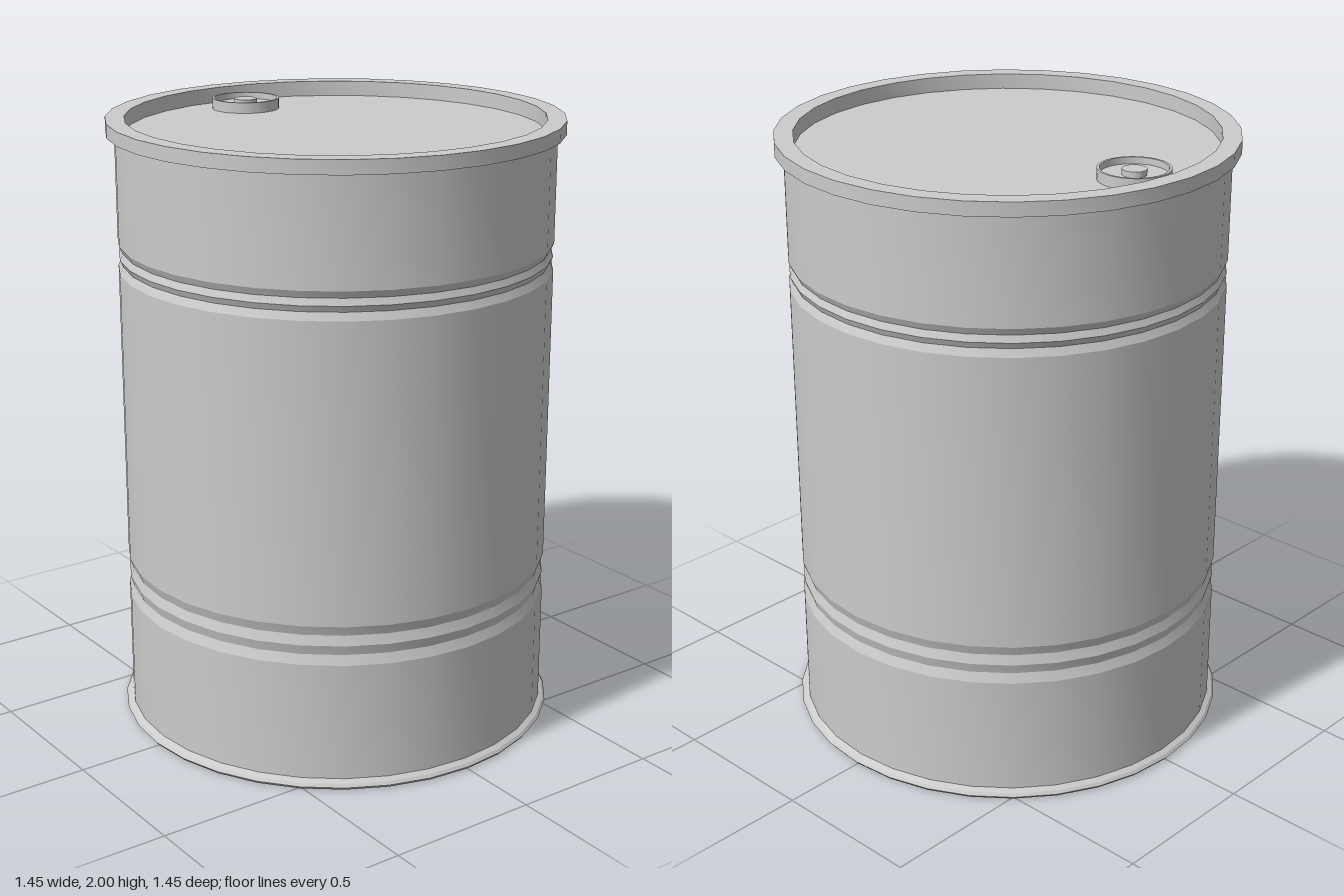
import * as THREE from 'three';
import { toCreasedNormals } from 'three/addons/utils/BufferGeometryUtils.js';

const SIDES = 32;
const material = new THREE.MeshStandardMaterial({ color: 0xcccccc });

// Revolves an [radius, height] outline, smooth around and sharp along the outline
function turned(name, outline, sides = SIDES) {
  const points = outline.map(([r, y]) => new THREE.Vector2(r, y));
  const geometry = toCreasedNormals(new THREE.LatheGeometry(points, sides), 0.25);
  const mesh = new THREE.Mesh(geometry, material);
  mesh.name = name;
  return mesh;
}

// Double pressed groove, listed from its bottom edge to its top edge
function groove(heights, depth) {
  const R = 0.7;
  const radii = [R, R - depth, R - 0.002, R - depth, R];
  return heights.map((y, i) => [radii[i], y]);
}

export function createModel() {
  const barrel = new THREE.Group();
  barrel.name = 'barrel';

  // Closed bottom with a small foot flange, and a wall with two grooves
  barrel.add(turned('body', [
    [0, 0], [0.715, 0], [0.723, 0.01], [0.716, 0.02], [0.7, 0.03],
    ...groove([0.42, 0.452, 0.485, 0.517, 0.55], 0.011),
    ...groove([1.52, 1.545, 1.565, 1.587, 1.61], 0.011),
    [0.7, 1.955],
  ]));

  // Overhanging rim around the sunken lid
  barrel.add(turned('rim', [
    [0.7, 1.955], [0.727, 1.955], [0.727, 2], [0.667, 2], [0.667, 1.95],
  ]));
  barrel.add(turned('lid', [[0.667, 1.95], [0, 1.95]]));

  // Filler cap: a thin-walled cup with a raised button
  const cap = turned('fillerCap', [
    [0.112, 0], [0.112, 0.035], [0.104, 0.035], [0.104, 0.014],
    [0.038, 0.014], [0.038, 0.032], [0, 0.032],
  ]);
  cap.position.set(0, 1.95, -0.515);
  barrel.add(cap);

  return barrel;
}
